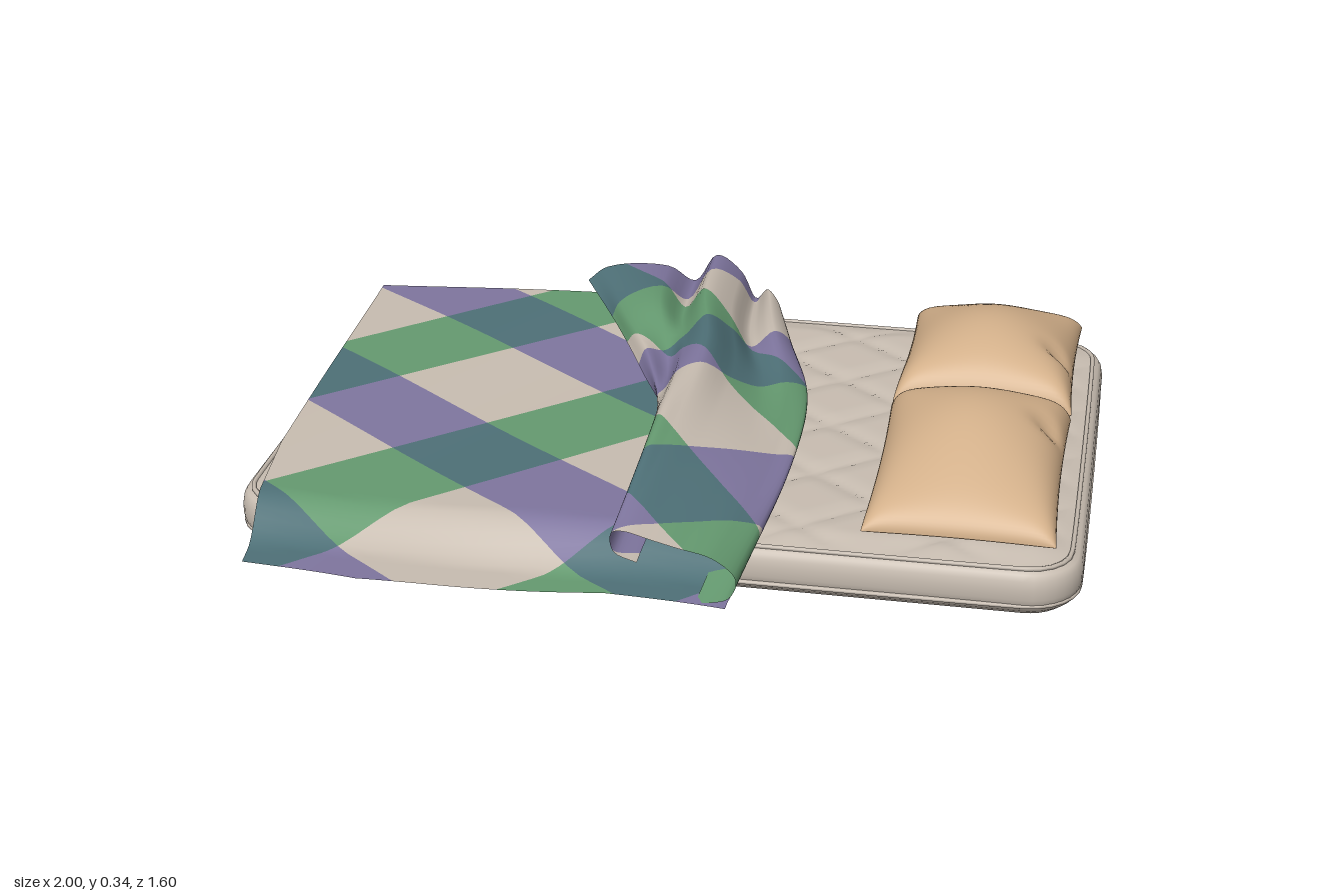
import * as THREE from 'three';
import { mergeVertices } from 'three/addons/utils/BufferGeometryUtils.js';

const { lerp, clamp, smoothstep } = THREE.MathUtils;
const mat = (name, color, side = THREE.FrontSide) =>
  Object.assign(new THREE.MeshStandardMaterial({ color, side }), { name });

// Piecewise linear lookup in [[key, value], ...] with rising keys
function lookup(table, k) {
  for (let i = 1; i < table.length; i++) {
    const [k0, v0] = table[i - 1], [k1, v1] = table[i];
    if (k <= k1 || i === table.length - 1) return lerp(v0, v1, clamp((k - k0) / (k1 - k0), 0, 1));
  }
}

// ---------- mattress ----------
const HX = 0.995, HZ = 0.665, CZ = -0.095, R = 0.13;

function outline(inset, y) {
  const r = R - inset, pts = [];
  for (let c = 0; c < 4; c++) {
    const sx = c === 0 || c === 3 ? 1 : -1, sz = c < 2 ? 1 : -1;
    for (let i = 0; i <= 8; i++) {
      const a = (c + i / 8) * Math.PI / 2;
      pts.push(new THREE.Vector3(sx * (HX - R) + r * Math.cos(a), y, sz * (HZ - R) + r * Math.sin(a)));
    }
  }
  return pts;
}

function mattressSide() {
  const profile = [[0.1, 0], [0.06, 0.002], [0.03, 0.012], [0.012, 0.027], [0.004, 0.045], [0, 0.06],
    [0, 0.085], [0.004, 0.105], [0.012, 0.118], [0.03, 0.126]];
  const rings = [outline(0.1, 0).map(() => new THREE.Vector3()), ...profile.map(([i, y]) => outline(i, y))];
  const n = rings[0].length, index = [];
  for (let i = 0; i < rings.length - 1; i++) for (let j = 0; j < n; j++) {
    const a = i * n + j, b = i * n + (j + 1) % n;
    index.push(a, a + n, b, b, a + n, b + n);
  }
  const g = new THREE.BufferGeometry().setFromPoints(rings.flat());
  g.setIndex(index);
  g.computeVertexNormals();
  return g;
}

function quiltTop() {
  const hx = HX - 0.03, hz = HZ - 0.03, r = R - 0.03;
  const g = new THREE.PlaneGeometry(2 * hx, 2 * hz, 150, 100).rotateX(-Math.PI / 2);
  const p = g.attributes.position;
  for (let i = 0; i < p.count; i++) {
    let x = p.getX(i), z = p.getZ(i);
    const qx = Math.max(Math.abs(x) - hx + r, 0), qz = Math.max(Math.abs(z) - hz + r, 0);
    const len = Math.hypot(qx, qz);
    if (len > r) {
      x = Math.sign(x) * (hx - r + qx * r / len);
      z = Math.sign(z) * (hz - r + qz * r / len);
    }
    // diamond stitching, fading out towards the rim
    const groove = (s) => Math.min(1, Math.abs(Math.sin(Math.PI * s)) * 1.6);
    const puff = Math.sqrt(groove(x / 0.34 + z / 0.27) * groove(x / 0.34 - z / 0.27));
    const rim = clamp((r - len) / 0.07, 0, 1);
    p.setXYZ(i, x, 0.126 + rim * (0.003 + 0.011 * puff), z);
  }
  g.computeVertexNormals();
  return g;
}

// ---------- pillows ----------
function pillowHalf(top, outer) {
  const g = new THREE.PlaneGeometry(2, 2, 40, 48).rotateX(top ? -Math.PI / 2 : Math.PI / 2);
  const p = g.attributes.position;
  for (let i = 0; i < p.count; i++) {
    const s = Math.sin(p.getX(i) * Math.PI / 2), t = Math.sin(p.getZ(i) * Math.PI / 2);
    const edge = Math.sqrt(Math.max(0, (1 - Math.abs(s) ** 9) * (1 - Math.abs(t) ** 9)));
    const o = t * outer;
    const seam = 0.182 - 0.014 * o;
    const dome = Math.cos(s * Math.PI / 2) * Math.cos(o * Math.PI / 2) * (1 - 0.25 * o);
    const dent = 0.03 * Math.exp(-(((s - 0.85) / 0.18) ** 2) - (((o + 0.35) / 0.12) ** 2));
    const y = top ? seam + edge * (0.068 - 0.016 * o + 0.082 * dome - dent)
      : seam - edge * (seam - 0.158 + 0.014 * dome);
    p.setXYZ(i, s * (0.212 + 0.008 * t * t), y, t * (0.298 + 0.008 * s * s));
  }
  g.computeVertexNormals();
  return g;
}

// ---------- plaid cloth ----------
// Cuts a polygon of [u, v, c, d] points along the line where coordinate k equals value
function cut(poly, k, value) {
  const low = [], high = [];
  poly.forEach((a, i) => {
    const b = poly[(i + 1) % poly.length];
    (a[k] <= value ? low : high).push(a);
    if ((a[k] - value) * (b[k] - value) < 0) {
      const f = (value - a[k]) / (b[k] - a[k]);
      const m = a.map((q, j) => lerp(q, b[j], f));
      low.push(m);
      high.push(m);
    }
  });
  return [low, high].filter((q) => q.length > 2);
}

// Sheet from surf(u, v), coloured by two crossing sets of stripes of period 1
function plaidSheet(name, surf, weave, nu, nv, mats) {
  const STRIPE = 0.44, e = 1e-3;
  const pos = [[], [], [], []], nor = [[], [], [], []];
  const corner = (i, j) => [i / nu, j / nv, ...weave(i / nu, j / nv)];
  const emit = (k, [u, v]) => {
    const u0 = Math.max(u - e, 0), u1 = Math.min(u + e, 1), v0 = Math.max(v - e, 0), v1 = Math.min(v + e, 1);
    const du = surf(u1, v).sub(surf(u0, v)), dv = surf(u, v1).sub(surf(u, v0));
    pos[k].push(...surf(u, v).toArray());
    nor[k].push(...du.cross(dv).normalize().toArray());
  };
  for (let i = 0; i < nu; i++) for (let j = 0; j < nv; j++) {
    let polys = [[corner(i, j), corner(i + 1, j), corner(i + 1, j + 1), corner(i, j + 1)]];
    for (const k of [2, 3]) for (let n = -4; n < 5; n++) for (const off of [0, STRIPE])
      polys = polys.flatMap((q) => cut(q, k, n + off));
    for (const q of polys) {
      const on = (k) => {
        const m = q.reduce((sum, a) => sum + a[k], 0) / q.length;
        return m - Math.floor(m) < STRIPE ? 1 : 0;
      };
      const k = on(2) + 2 * on(3);
      for (let a = 1; a < q.length - 1; a++) [q[0], q[a], q[a + 1]].forEach((w) => emit(k, w));
    }
  }
  const group = new THREE.Group();
  group.name = name;
  mats.forEach((m, k) => {
    const g = new THREE.BufferGeometry();
    g.setAttribute('position', new THREE.Float32BufferAttribute(pos[k], 3));
    g.setAttribute('normal', new THREE.Float32BufferAttribute(nor[k], 3));
    const mesh = new THREE.Mesh(mergeVertices(g), m);
    mesh.name = name + ' ' + m.name;
    group.add(mesh);
  });
  return group;
}

// Flat part of the blanket, drooping over the front of the mattress
const leftEdge = [[-0.71, -1], [0.3, -0.95], [0.77, -0.89]];
const rightEdge = [[-0.7, 0.08], [-0.45, 0.17], [-0.15, 0.25], [0.25, 0.27], [0.77, 0.23]];
const backEdge = [[0, -0.71], [0.6, -0.76], [1, -0.68]];
const frontEdge = [[0, 0.76], [0.06, 0.77], [0.25, 0.8], [0.45, 0.785], [0.75, 0.755], [1, 0.785]];
function spread(u, v) {
  const z = lerp(lookup(backEdge, u), lookup(frontEdge, u), v);
  const x = lerp(lookup(leftEdge, z), lookup(rightEdge, z), u);
  const droop = smoothstep(z, 0.535, 0.7);
  const y = 0.158 - droop * (0.072 - 0.008 * Math.sin(7 * x)) + 0.004 * Math.sin(5 * x + 3 * z);
  return new THREE.Vector3(x, y, z);
}

// Folded-back part: cross-sections from front to back, each from the crease to the free edge
const sections = [
  [0.77, [.16, .09], [.235, .11], [.25, .16], [.2, .205], [.12, .225], [.06, .24], [0, .255], [-.025, .25], [-.03, .23], [-.02, .2], [.03, .18]],
  [0.25, [.2, .16], [.28, .165], [.295, .19], [.25, .21], [.18, .24], [.1, .275], [.03, .31], [-.01, .32], [-.03, .295], [-.03, .24], [.02, .2]],
  [-0.15, [.2, .16], [.265, .165], [.275, .19], [.22, .22], [.15, .22], [.09, .26], [.02, .325], [-.04, .29], [-.08, .24], [-.13, .26], [-.15, .22]],
  [-0.45, [.12, .15], [.18, .16], [.19, .19], [.14, .24], [.08, .2], [.03, .27], [-.04, .315], [-.1, .24], [-.16, .28], [-.26, .25], [-.28, .21]],
  [-0.75, [.08, .15, -.6], [.13, .16, -.64], [.13, .2, -.65], [.09, .23, -.7], [.04, .17, -.78], [0, .24, -.79], [-.07, .28, -.8], [-.13, .2, -.8], [-.2, .25, -.77], [-.36, .255, -.72], [-.41, .22, -.7]],
].map(([z, ...pts]) => new THREE.CatmullRomCurve3(pts.map(([x, y, pz = z]) => new THREE.Vector3(x, y, pz))));
const fold = (u, v) => new THREE.CatmullRomCurve3(sections.map((s) => s.getPoint(u))).getPoint(v);

export function createModel() {
  const model = new THREE.Group();
  const linen = mat('linen', 0xc8bdb1);
  const tan = mat('tan', 0xd3b08a);
  const cloth = [mat('cream', 0xc8bdb1, THREE.DoubleSide), mat('purple', 0x7f769f, THREE.DoubleSide),
    mat('green', 0x659a70, THREE.DoubleSide), mat('teal', 0x4e7077, THREE.DoubleSide)];
  const add = (parent, name, geometry, material) => {
    const mesh = new THREE.Mesh(geometry, material);
    mesh.name = name;
    parent.add(mesh);
  };

  // mattress with quilted top and piping
  const mattress = new THREE.Group();
  mattress.name = 'mattress';
  mattress.position.z = CZ;
  add(mattress, 'mattress body', mattressSide(), linen);
  add(mattress, 'quilted top', quiltTop(), linen);
  for (const [inset, y] of [[0.028, 0.126], [0.006, 0.042]]) {
    const path = new THREE.CatmullRomCurve3(outline(inset, y), true);
    add(mattress, 'piping', new THREE.TubeGeometry(path, 200, 0.006, 6, true), linen);
  }
  model.add(mattress);

  // two pillows, thinner towards their outer ends
  for (const [z, outer, name] of [[0.205, 1, 'front pillow'], [-0.435, -1, 'back pillow']]) {
    const pillow = new THREE.Group();
    pillow.name = name;
    pillow.position.set(0.712, 0, z);
    add(pillow, 'pillow top', pillowHalf(true, outer), tan);
    add(pillow, 'pillow underside', pillowHalf(false, outer), tan);
    model.add(pillow);
  }

  // blanket
  model.add(plaidSheet('blanket', spread, (u, v) => {
    const { x, z } = spread(u, v);
    return [(z - 0.74 * x - 0.455) / 0.727, (z + 0.95 * x + 0.37) / 0.87];
  }, 32, 60, cloth));
  model.add(plaidSheet('folded blanket', fold, (u, v) => {
    const { x, z } = fold(u, v);
    return [(z + 0.74 * x - 0.43) / 0.727, (z - 0.95 * x - 0.31) / 0.75];
  }, 50, 36, cloth));
  return model;
}
